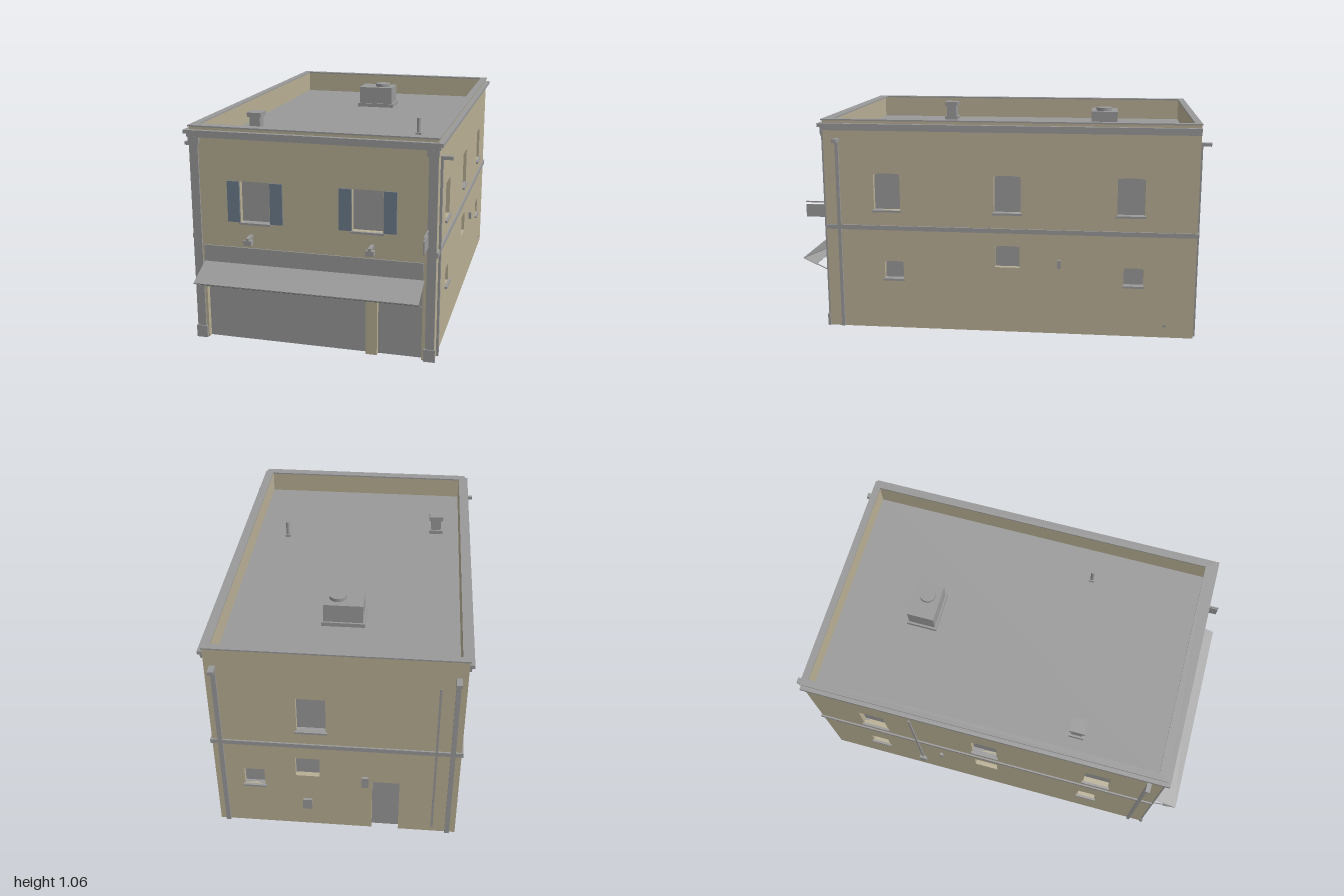
import * as THREE from 'three';

const mat = (name, color) => new THREE.MeshStandardMaterial({ name, color, side: THREE.DoubleSide });

export function createModel() {
  const stucco = mat('beige stucco', 0xb8ae94);
  const grey = mat('grey trim', 0x999999);
  const blue = mat('blue shutter', 0x6c7d8c);
  const model = new THREE.Group();
  model.name = 'building';

  const X = 0.578, FRONT = 0.855, BACK = -0.949, T = 0.03, TOP = 1.04, ROOF = 0.93;

  const add = (parent, name, geometry, material) => {
    const m = new THREE.Mesh(geometry, material);
    m.name = name;
    parent.add(m);
    return m;
  };
  // box given by its extents
  const box = (parent, name, material, x0, x1, y0, y1, z0, z1) => {
    const m = add(parent, name, new THREE.BoxGeometry(x1 - x0, y1 - y0, z1 - z0), material);
    m.position.set((x0 + x1) / 2, (y0 + y1) / 2, (z0 + z1) / 2);
    return m;
  };
  const pipe = (parent, name, r, x, y0, y1, z, sides = 10) => {
    const m = add(parent, name, new THREE.CylinderGeometry(r, r, y1 - y0, sides), grey);
    m.position.set(x, (y0 + y1) / 2, z);
    return m;
  };
  // one side of the house: local +z points outwards, local z = 0 is the wall face
  const side = (name, x, z, turn) => {
    const g = new THREE.Group();
    g.name = name;
    g.position.set(x, 0, z);
    g.rotation.y = turn;
    model.add(g);
    return g;
  };
  // wall with ground-level notches and window holes, each with a recessed grey pane
  const wall = (g, u0, u1, notches, windows) => {
    const s = new THREE.Shape();
    s.moveTo(u0, 0);
    for (const [a, b, h] of notches) {
      s.lineTo(a, 0); s.lineTo(a, h); s.lineTo(b, h); s.lineTo(b, 0);
      box(g, 'recessedPanel', grey, a, b, 0, h, -T, -T + 0.004);
    }
    s.lineTo(u1, 0); s.lineTo(u1, TOP); s.lineTo(u0, TOP);
    for (const { a, b, y0, y1, rise = 0, sill = true } of windows) {
      const h = new THREE.Path();
      h.moveTo(a, y0); h.lineTo(b, y0); h.lineTo(b, y1 - rise);
      if (rise) h.quadraticCurveTo((a + b) / 2, y1 + rise, a, y1 - rise);
      else { h.lineTo(b, y1); h.lineTo(a, y1); }
      h.closePath();
      s.holes.push(h);
      box(g, 'windowPane', grey, a, b, y0, y1, -T, -T + 0.004);
      if (sill) box(g, 'windowSill', grey, a - 0.007, b + 0.007, y0 - 0.01, y0, -T, 0.012);
    }
    const geo = new THREE.ExtrudeGeometry(s, { depth: T, bevelEnabled: false, curveSegments: 6 });
    add(g, 'wall', geo.translate(0, 0, -T), stucco);
  };

  // front
  const front = side('front', 0, FRONT, 0);
  const frontWindows = [-0.269, 0.264].map(c => ({ a: c - 0.071, b: c + 0.071, y0: 0.6, y1: 0.795 }));
  wall(front, -X, X, [[-0.525, 0.256, 0.395], [0.31, 0.52, 0.395]], frontWindows);
  for (const { a, b } of frontWindows) {
    box(front, 'shutter', blue, a - 0.061, a - 0.002, 0.6, 0.795, 0, 0.008);
    box(front, 'shutter', blue, b + 0.004, b + 0.063, 0.6, 0.795, 0, 0.008);
  }
  for (const s of [-1, 1]) {
    const column = (name, x0, x1, y0, y1, d) =>
      box(front, name, grey, Math.min(s * x0, s * x1), Math.max(s * x0, s * x1), y0, y1, 0, d);
    column('pilaster', 0.537, 0.579, 0, 0.995, 0.008);
    column('pilasterBase', 0.53, 0.584, 0, 0.06, 0.013);
    column('pilasterCapital', 0.529, 0.582, 0.965, 0.995, 0.013);
    // spotlights above the shop sign
    const x = s * 0.288;
    box(front, 'lampArm', grey, x - 0.008, x + 0.008, 0.53, 0.543, 0, 0.065);
    box(front, 'lampHead', grey, x - 0.019, x + 0.019, 0.507, 0.53, 0.035, 0.065);
  }
  box(front, 'signBand', grey, -0.527, 0.523, 0.395, 0.475, 0, 0.006);

  // folded awning with struts
  const sheet = (name, z0, y0, z1, y1) => {
    const len = Math.hypot(z1 - z0, y1 - y0);
    const m = add(front, name, new THREE.BoxGeometry(1.056, 0.003, len), grey);
    m.position.set(0, (y0 + y1) / 2, (z0 + z1) / 2);
    m.rotation.x = -Math.atan2(y1 - y0, z1 - z0);
    return m;
  };
  sheet('awningTop', 0.005, 0.393, 0.145, 0.332);
  sheet('awningReturn', 0.08, 0.3, 0.144, 0.331);
  for (const x of [-0.52, 0.515]) {
    const strut = sheet('awningStrut', 0, 0.26, 0.144, 0.33);
    strut.scale.x = 0.005;
    strut.position.x = x;
  }

  // hanging sign
  box(front, 'hangingSign', grey, 0.537, 0.543, 0.552, 0.615, 0.012, 0.112);
  box(front, 'signBracket', grey, 0.537, 0.543, 0.625, 0.631, 0, 0.112);

  // long sides, mirrored: u runs along z
  for (const s of [1, -1]) {
    const g = side(s > 0 ? 'leftSide' : 'rightSide', s * X, 0, s * Math.PI / 2);
    const span = (z0, z1) => [Math.min(-s * z0, -s * z1), Math.max(-s * z0, -s * z1)];
    const win = (z0, z1, y0, y1, rise, sill) => {
      const [a, b] = span(z0, z1);
      return { a, b, y0, y1, rise, sill };
    };
    const part = (name, z0, z1, y0, y1, d) => box(g, name, grey, ...span(z0, z1), y0, y1, 0, d);
    wall(g, ...span(FRONT - T, BACK + T), [], [
      ...[0.548, -0.043, -0.635].map(c => win(c - 0.065, c + 0.065, 0.603, 0.785, 0.005)),
      ...[0.52, -0.655].map(c => win(c - 0.047, c + 0.047, 0.257, 0.345, 0.003)),
      win(-0.104, 0.018, 0.33, 0.438, 0.004, false),
    ]);
    part('stringCourse', BACK, FRONT, 0.503, 0.525, 0.008);
    part('lowerCornice', BACK, FRONT + 0.01, 0.993, 1.01, 0.01);
    part('upperCornice', BACK, FRONT + 0.02, 1.01, 1.027, 0.022);
    part('utilityBox', -0.303, -0.288, 0.335, 0.375, 0.015);
    part('downspout', 0.78, 0.796, 0, 0.945, 0.011);
    part('rainHead', 0.775, 0.797, 0.938, 0.954, 0.054);
    if (s > 0) {
      const vent = add(g, 'wallVent', new THREE.CylinderGeometry(0.008, 0.008, 0.01, 10), grey);
      vent.rotation.x = Math.PI / 2;
      vent.position.set(0.81, 0.06, 0);
    } else {
      part('conduit', -0.425, -0.415, 0.17, 0.89, 0.008);
      part('meterBox', -0.438, -0.402, 0.13, 0.187, 0.018);
    }
  }
  box(front, 'lowerCornice', grey, -X - 0.01, X + 0.01, 0.993, 1.01, 0, 0.012);
  box(front, 'upperCornice', grey, -X - 0.022, X + 0.022, 1.01, 1.027, 0, 0.022);

  // back: u = -x
  const back = side('back', 0, BACK, Math.PI);
  wall(back, -X, X, [[0.17, 0.3, 0.305]], [
    { a: -0.18, b: -0.045, y0: 0.603, y1: 0.79 },
    { a: -0.44, b: -0.343, y0: 0.25, y1: 0.345 },
    { a: -0.193, b: -0.079, y0: 0.32, y1: 0.43, sill: false },
  ]);
  box(back, 'stringCourse', grey, -X - 0.008, X + 0.008, 0.503, 0.525, 0, 0.008);
  box(back, 'meterBox', grey, -0.163, -0.118, 0.11, 0.17, 0, 0.012);
  box(back, 'utilityBox', grey, 0.12, 0.153, 0.275, 0.335, 0, 0.012);
  box(back, 'conduit', grey, 0.459, 0.469, 0.03, 0.89, 0, 0.006);
  for (const x of [-0.539, 0.539]) {
    box(back, 'downspout', grey, x - 0.011, x + 0.011, 0, 0.945, 0, 0.011);
    box(back, 'rainHead', grey, x - 0.013, x + 0.013, 0.938, 0.954, 0, 0.051);
  }

  // roof deck and parapet cap
  box(model, 'roofDeck', grey, -X + T, X - T, ROOF - 0.01, ROOF, BACK + T, FRONT - T);
  const rect = (P, x, z0, z1) => new P([[-x, z0], [x, z0], [x, z1], [-x, z1]].map(([a, b]) => new THREE.Vector2(a, -b)));
  const frame = rect(THREE.Shape, 0.583, -0.952, 0.862);
  frame.holes.push(rect(THREE.Path, 0.548, -0.918, 0.812));
  const cap = add(model, 'parapetCap', new THREE.ExtrudeGeometry(frame, { depth: 0.007, bevelEnabled: false }), grey);
  cap.rotation.x = -Math.PI / 2;
  cap.position.y = TOP;

  // roof equipment
  box(model, 'roofUnitCurb', grey, -0.104, 0.104, ROOF, 0.95, -0.574, -0.421);
  box(model, 'roofUnit', grey, -0.094, 0.094, ROOF, 1.042, -0.565, -0.43);
  pipe(model, 'roofUnitFan', 0.041, 0.03, 1.042, 1.059, -0.495, 20);
  const stack = (name, r, y0, y1) => box(model, name, grey, -0.423 - r, -0.423 + r, y0, y1, 0.395 - r, 0.395 + r);
  stack('chimneyBase', 0.037, ROOF, 0.95);
  stack('chimneyShaft', 0.027, 0.95, 1.01);
  stack('chimneyCap', 0.037, 1.01, 1.032);
  pipe(model, 'ventPipe', 0.009, 0.383, ROOF, 1.015, 0.27);
  box(model, 'ventPipeBase', grey, 0.369, 0.397, ROOF, 0.942, 0.256, 0.284);

  return model;
}
